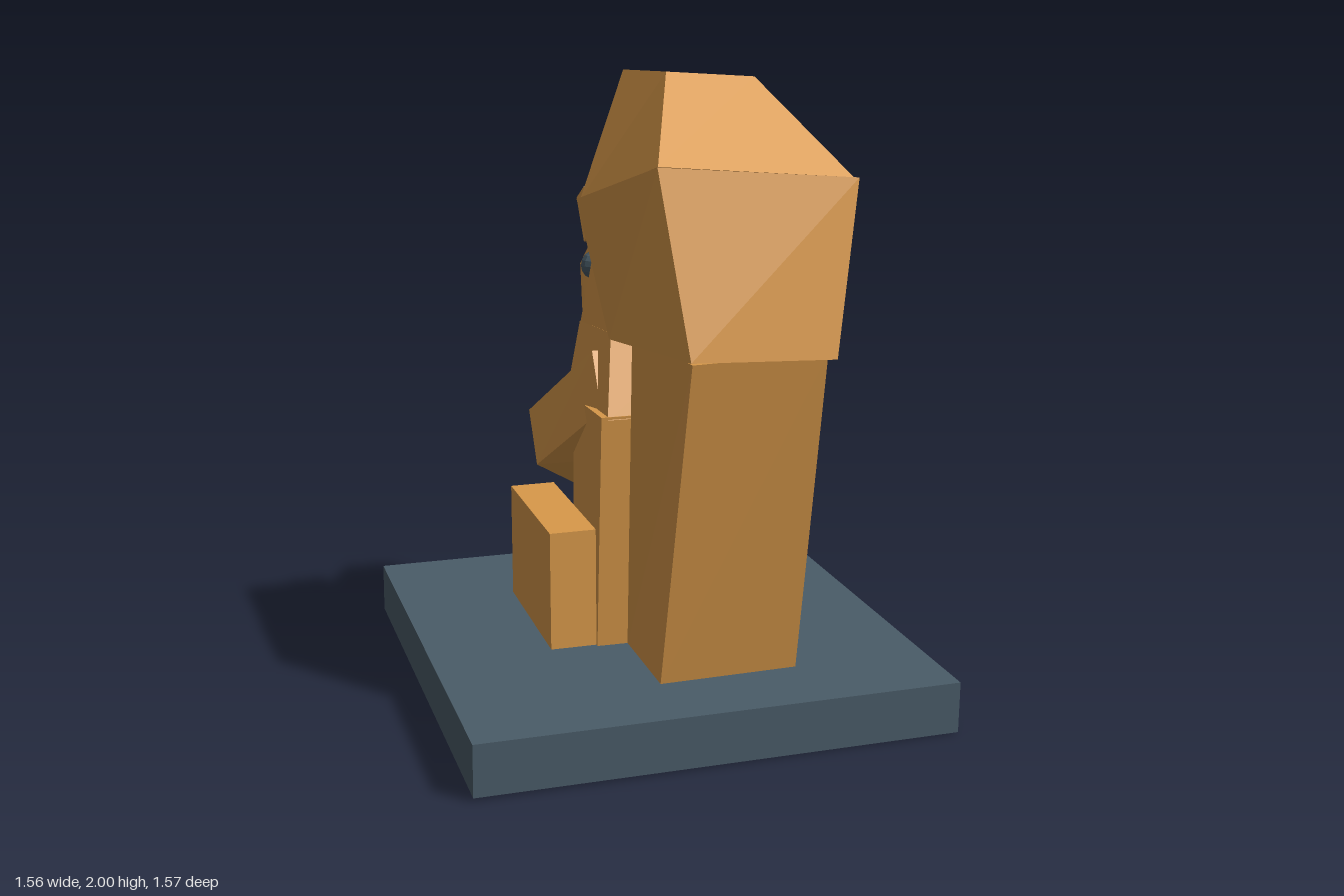
import * as THREE from 'three';

const material = (color) => new THREE.MeshStandardMaterial({ color, flatShading: true });
const FUR = material(0xd9994a);
const SLATE = material(0x4a5c68);
const NUT = material(0x7a5548);
const BELLY = material(0xcccccc);

// Closed solid through a row of four-cornered cross-sections
function loft(sections) {
  const v = (p) => new THREE.Vector3(...p);
  const tris = [];
  const quad = (a, b, c, d) => tris.push([a, b, c], [a, c, d]);
  for (let s = 0; s < sections.length - 1; s++) {
    for (let i = 0; i < 4; i++) {
      const j = (i + 1) % 4;
      quad(sections[s][i], sections[s][j], sections[s + 1][j], sections[s + 1][i]);
    }
  }
  const first = sections[0], last = sections[sections.length - 1];
  quad(first[3], first[2], first[1], first[0]);
  quad(...last);
  // Turn the faces outward if the solid came out inverted
  const volume = tris.reduce((sum, [a, b, c]) => sum + v(a).dot(v(b).cross(v(c))), 0);
  if (volume < 0) tris.forEach((t) => t.reverse());
  const geometry = new THREE.BufferGeometry();
  geometry.setAttribute('position', new THREE.Float32BufferAttribute(tris.flat(2), 3));
  geometry.computeVertexNormals();
  return geometry;
}

// Cross-section spanning x0..x1 between two [y, z] points
const section = (x0, x1, a, b) => [[x0, ...a], [x1, ...a], [x1, ...b], [x0, ...b]];

export function createModel() {
  const group = new THREE.Group();
  const add = (name, geometry, mat, position = [0, 0, 0], rotation = [0, 0, 0]) => {
    const mesh = new THREE.Mesh(geometry, mat);
    mesh.name = name;
    mesh.position.set(...position);
    mesh.rotation.set(...rotation);
    group.add(mesh);
  };
  const box = (w, h, d) => new THREE.BoxGeometry(w, h, d);

  // Slightly crooked base slab
  add('base', box(1.52, 0.164, 1.535), SLATE, [0, 0.094, 0], [0.006, 0.026, -0.007]);

  // Tail: three stacked segments, corners back left, back right, front right, front left
  const widest = [[-0.16, 1.76, 0.65], [0.45, 1.71, 0.63], [0.33, 1.62, 0.21], [-0.28, 1.62, 0.2]];
  add('lowerTail', loft([
    [[-0.11, 0.17, 0.52], [0.335, 0.17, 0.5], [0.29, 0.17, 0.17], [-0.12, 0.17, 0.18]],
    [[-0.09, 1.22, 0.76], [0.335, 1.22, 0.71], [0.27, 1.22, 0.28], [-0.13, 1.22, 0.28]],
  ]), FUR);
  add('middleTail', loft([
    [[-0.1, 1.23, 0.78], [0.36, 1.2, 0.72], [0.28, 1.26, 0.28], [-0.2, 1.2, 0.27]],
    widest,
  ]), FUR);
  add('tailTip', loft([
    widest.map(([x, y, z]) => [x * 0.97, y, 0.43 + (z - 0.43) * 0.95]),
    [[-0.04, 2, 0.33], [0.24, 1.98, 0.31], [0.19, 1.97, 0.01], [-0.09, 1.99, 0.04]],
  ]), FUR);

  // Body
  add('torso', loft([
    section(-0.22, 0.22, [0.17, 0.18], [0.17, -0.13]),
    section(-0.22, 0.2, [0.95, 0.25], [0.93, -0.12]),
  ]), FUR);
  add('belly', loft([
    section(-0.17, 0.15, [0.17, -0.1], [0.17, -0.27]),
    section(-0.17, 0.15, [0.89, -0.1], [0.87, -0.27]),
  ]), BELLY);
  add('chest', loft([
    section(-0.2, 0.2, [0.94, 0.25], [0.9, -0.29]),
    section(-0.16, 0.18, [1.19, 0.14], [1.15, -0.26]),
  ]), FUR);

  // Head: wedge from the neck to the face, then the snout
  add('head', loft([
    section(-0.16, 0.18, [1.18, 0.14], [1.15, -0.25]),
    section(-0.13, 0.16, [1.49, -0.12], [1.15, -0.26]),
    section(-0.095, 0.06, [1.3, -0.51], [1.14, -0.485]),
  ]), FUR);

  for (const side of [-1, 1]) {
    const label = side < 0 ? 'right' : 'left';

    add(label + 'Eye', new THREE.SphereGeometry(0.048, 12, 8), SLATE, [0.015 + side * 0.12, 1.335, -0.265]);
    add(label + 'Ear', box(0.12, 0.16, 0.075), FUR, [0.015 + side * 0.12, 1.515, -0.18], [-0.62, side * -0.12, 0]);

    // Arm bends out at the elbow and in to the hand
    const drop = side < 0 ? 0.03 : 0;
    add(label + 'Arm', loft([
      section(side * 0.09, side * 0.19, [1.11, 0.02], [0.94, 0.13]),
      section(side * 0.2, side * 0.33, [0.88 - drop, -0.29], [0.72 - drop, -0.18]),
      section(side * 0.04, side * 0.13, [0.69 - drop, -0.545], [0.55 - drop, -0.495]),
    ]), FUR);
  }

  // Legs and feet
  add('rightThigh', box(0.15, 0.4, 0.54), FUR, [-0.3, 0.365, -0.1], [0, 0.02, 0]);
  add('leftThigh', box(0.14, 0.43, 0.49), FUR, [0.275, 0.385, -0.14], [0, 0.06, 0]);
  add('rightFoot', box(0.115, 0.14, 0.26), FUR, [-0.295, 0.24, -0.4], [0, -0.1, 0]);
  add('leftFoot', box(0.125, 0.14, 0.26), FUR, [0.24, 0.235, -0.43], [0, 0.15, 0]);

  add('nut', new THREE.SphereGeometry(0.132, 14, 10), NUT, [-0.03, 0.64, -0.518]);

  return group;
}
